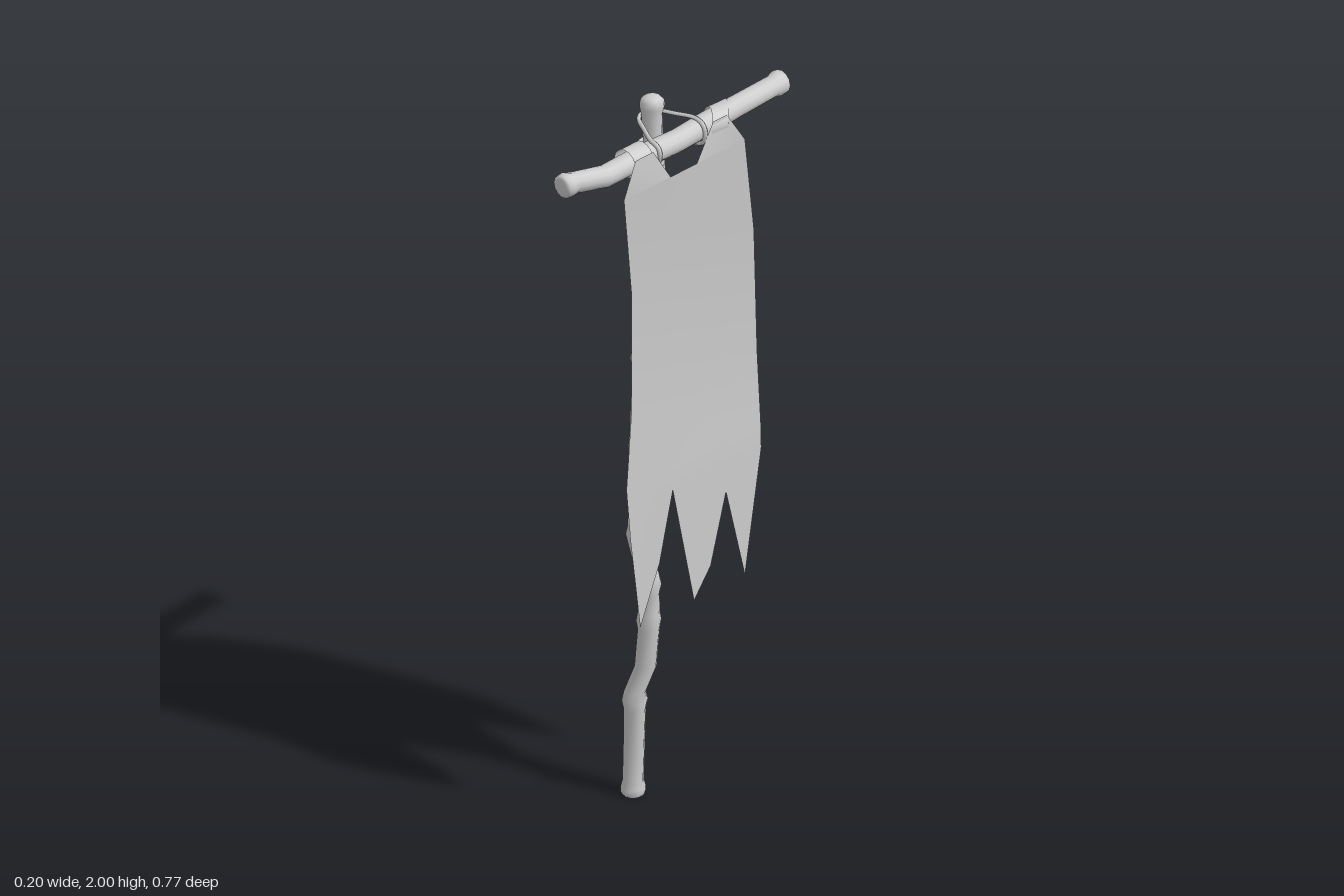
import * as THREE from 'three';
import { mergeGeometries, mergeVertices } from 'three/addons/utils/BufferGeometryUtils.js';

const wood = new THREE.MeshStandardMaterial({ color: 0xcccccc });
const cloth = new THREE.MeshStandardMaterial({ color: 0xcccccc, side: THREE.DoubleSide });

// Rounded branch: rings [x, y, z, radius] stacked along y, or along z when alongZ is set
function branch(rings, alongZ, sides = 10) {
  const pos = [], index = [], n = rings.length;
  for (const [x, y, z, r] of rings) {
    for (let i = 0; i < sides; i++) {
      const a = (i / sides) * Math.PI * 2, c = r * Math.cos(a), s = r * Math.sin(a);
      if (alongZ) pos.push(x + c, y + s, z);
      else pos.push(x + s, y, z + c);
    }
  }
  for (let j = 0; j < n - 1; j++) {
    for (let i = 0; i < sides; i++) {
      const a = j * sides + i, b = j * sides + (i + 1) % sides;
      index.push(a, b, b + sides, a, b + sides, a + sides);
    }
  }
  // End caps
  for (let i = 1; i < sides - 1; i++) {
    const t = (n - 1) * sides;
    index.push(0, i + 1, i, t, t + i, t + i + 1);
  }
  const g = new THREE.BufferGeometry();
  g.setAttribute('position', new THREE.Float32BufferAttribute(pos, 3));
  g.setIndex(index);
  g.computeVertexNormals();
  return g;
}

// Sideways sway of the cloth by height
const sway = [[0.59, 0.092], [0.75, 0.09], [1.0, 0.083], [1.2, 0.07], [1.55, 0.07], [1.84, 0.092], [1.94, 0.084]];
function swayAt(y) {
  let k = 0;
  while (k < sway.length - 2 && y > sway[k + 1][0]) k++;
  const [y0, x0] = sway[k], [y1, x1] = sway[k + 1];
  return x0 + (x1 - x0) * (y - y0) / (y1 - y0);
}

// Flat cloth panel from [z, y] corners, bent by the sway
function panel(corners) {
  const g = new THREE.ShapeGeometry(new THREE.Shape(corners.map(([z, y]) => new THREE.Vector2(-z, y))));
  g.deleteAttribute('uv');
  g.deleteAttribute('normal');
  const p = g.attributes.position;
  for (let i = 0; i < p.count; i++) {
    const z = -p.getX(i), y = p.getY(i);
    p.setXYZ(i, swayAt(y) + 0.018 * z, y, z);
  }
  return g;
}

// Strap wound round the crossbar, skewed along it
function strap(z, width, skew) {
  const g = new THREE.CylinderGeometry(0.038, 0.038, width, 16, 1, true);
  g.rotateX(Math.PI / 2);
  const p = g.attributes.position;
  for (let i = 0; i < p.count; i++) {
    const t = (p.getX(i) / 0.038 + 1) / 2;
    p.setXYZ(i, p.getX(i) + 0.049, p.getY(i) + 1.906, p.getZ(i) + z + skew * t * t);
  }
  g.computeVertexNormals();
  return g;
}

export function createModel() {
  const group = new THREE.Group();
  const add = (name, geometry, material) => {
    const mesh = new THREE.Mesh(geometry, material);
    mesh.name = name;
    group.add(mesh);
  };

  // Crooked pole with knots
  const joints = [ // x, y, z, radius, knot
    [-0.068, 0.12, 0.032, 0.027], [-0.065, 0.27, 0.032, 0.033, 1], [-0.043, 0.37, 0.016, 0.028],
    [-0.038, 0.5, 0.01, 0.032, 1], [-0.037, 0.6, 0.012, 0.033, 1], [-0.053, 0.75, 0.03, 0.033, 1],
    [-0.053, 1.0, 0.024, 0.031, 1], [-0.048, 1.25, 0.02, 0.033, 1], [-0.028, 1.37, 0.008, 0.028],
    [-0.027, 1.48, 0.003, 0.032, 1], [-0.018, 1.65, 0.008, 0.026], [-0.014, 1.75, 0.012, 0.031, 1],
  ];
  const pole = [[-0.07, 0, 0.033, 0.028], [-0.07, 0.008, 0.033, 0.032], [-0.07, 0.022, 0.033, 0.032], [-0.07, 0.04, 0.033, 0.027]];
  for (const [x, y, z, r, knot] of joints) {
    if (knot) pole.push([x, y - 0.025, z, 0.028], [x, y, z, r], [x, y + 0.025, z, 0.028]);
    else pole.push([x, y, z, r]);
  }
  pole.push([-0.022, 1.87, 0.01, 0.025], [-0.028, 1.95, 0.009, 0.027], [-0.028, 1.972, 0.008, 0.032],
    [-0.028, 1.988, 0.008, 0.031], [-0.028, 1.997, 0.008, 0.022], [-0.028, 2.0, 0.008, 0.008]);
  add('pole', branch(pole, false), wood);

  // Bowed crossbar with thickened ends
  add('crossbar', branch([
    [0.034, 1.911, -0.385, 0.022], [0.034, 1.911, -0.381, 0.031], [0.034, 1.911, -0.366, 0.033],
    [0.036, 1.911, -0.345, 0.028], [0.05, 1.915, -0.2, 0.029], [0.05, 1.908, -0.1, 0.031],
    [0.05, 1.9, 0, 0.03], [0.05, 1.903, 0.12, 0.031], [0.051, 1.9, 0.25, 0.029],
    [0.037, 1.914, 0.345, 0.028], [0.034, 1.915, 0.366, 0.033], [0.034, 1.915, 0.381, 0.031],
    [0.034, 1.915, 0.385, 0.022],
  ], true, 12), wood);

  // Banner: hanging tabs, body strips, ragged tails
  const rows = [[0.228, -0.2, 1.84], [0.18, -0.254, 1.55], [0.18, -0.265, 1.2], [0.21, -0.265, 1.0]];
  const pieces = [
    panel([[0.228, 1.84], [0.18, 1.93], [0.117, 1.93], [0.063, 1.84]]),
    panel([[-0.03, 1.84], [-0.095, 1.93], [-0.143, 1.93], [-0.2, 1.84]]),
    panel([[0.21, 1.0], [0.2, 0.855], [0.17, 0.595], [0.1, 0.75], [0.048, 0.935], [0.016, 0.77], [-0.02, 0.595],
      [-0.08, 0.67], [-0.138, 0.855], [-0.2, 0.595], [-0.265, 0.93], [-0.265, 1.0]]),
  ];
  for (let i = 0; i < 3; i++) {
    const [a, b, y] = rows[i], [c, d, v] = rows[i + 1];
    pieces.push(panel([[a, y], [c, v], [d, v], [b, y]]));
  }
  const banner = mergeVertices(mergeGeometries(pieces));
  banner.computeVertexNormals();
  add('banner', banner, cloth);

  // Straps joining the tabs to the crossbar
  add('leftStrap', strap(0.147, 0.062, 0), cloth);
  add('rightStrap', strap(-0.16, 0.058, 0.045), cloth);

  // Cord lashing the crossbar to the pole: over the bar, under it and behind the pole
  const side = (z) => [[0.05, 1.938, z], [0.077, 1.927, z], [0.084, 1.902, z], [0.072, 1.876, z], [0.045, 1.866, z]];
  const cordPath = [
    [-0.045, 1.94, -0.022], [0, 1.94, -0.045], ...side(-0.067), [-0.01, 1.866, -0.04],
    [-0.048, 1.866, -0.015], [-0.057, 1.866, 0.01], [-0.045, 1.866, 0.038], [0, 1.866, 0.065],
    ...side(0.09).reverse(), [0, 1.94, 0.065], [-0.045, 1.94, 0.038], [-0.059, 1.94, 0.008],
  ].map((p) => new THREE.Vector3(...p));
  add('cord', new THREE.TubeGeometry(new THREE.CatmullRomCurve3(cordPath, true, 'centripetal'), 90, 0.006, 6, true), wood);

  return group;
}
